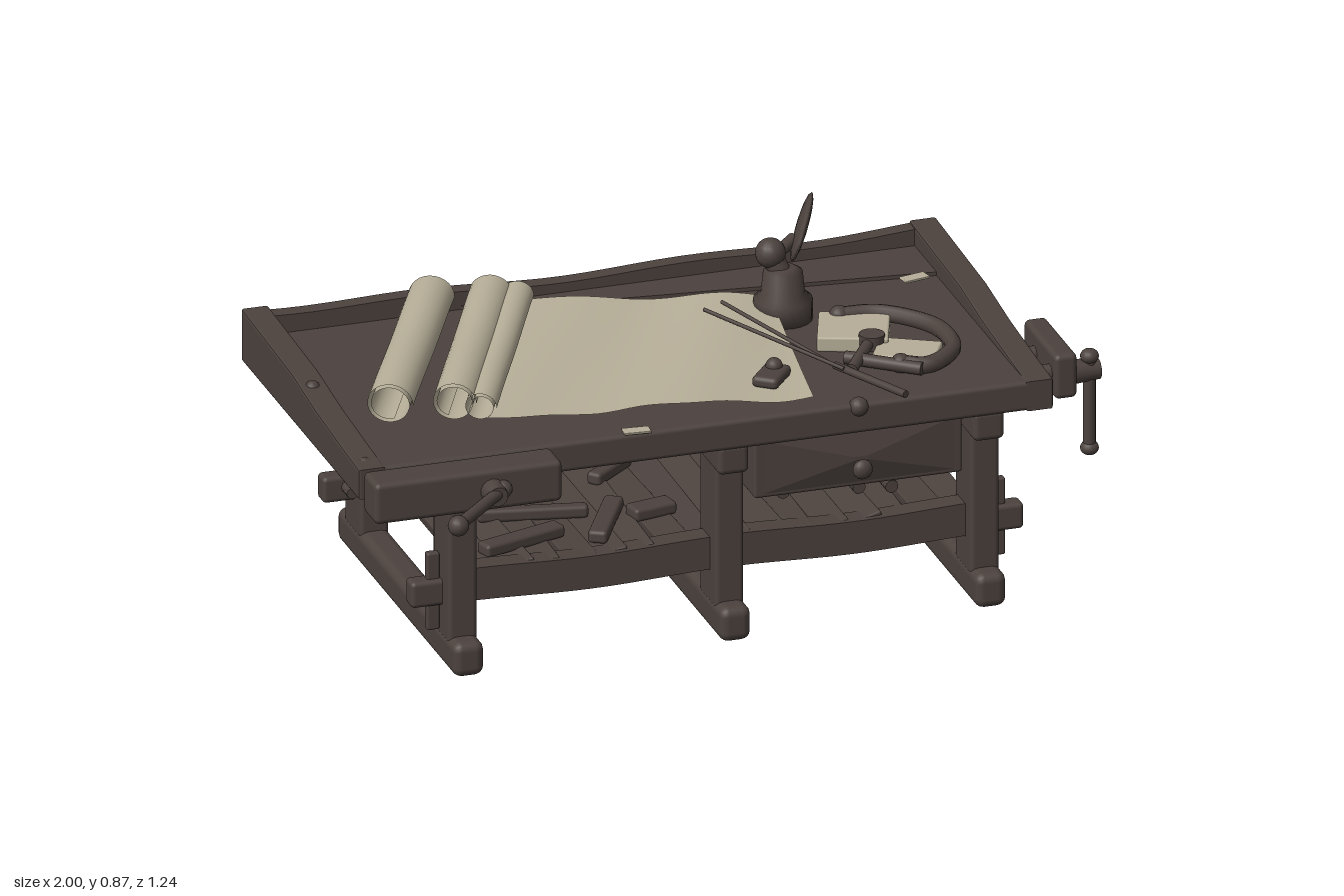
import * as THREE from 'three';
import { RoundedBoxGeometry } from 'three/addons/geometries/RoundedBoxGeometry.js';
import { ParametricGeometry } from 'three/addons/geometries/ParametricGeometry.js';

const V = (x, y, z) => new THREE.Vector3(x, y, z);
const outline = pts => new THREE.Shape(pts.map(([x, y]) => new THREE.Vector2(x, y)));

export function createModel() {
  const root = new THREE.Group();
  root.name = 'workbench';
  const wood = new THREE.MeshStandardMaterial({ name: 'dark wood', color: 0x4c423e });
  const paper = new THREE.MeshStandardMaterial({ name: 'old paper', color: 0xb6ae98, side: THREE.DoubleSide });

  const add = (name, geo, mat = wood) => {
    const m = new THREE.Mesh(geo, mat);
    m.name = name;
    root.add(m);
    return m;
  };
  // rounded box from its limits
  const box = (name, x0, x1, y0, y1, z0, z1, r = 0.012, mat = wood) => {
    const m = add(name, new RoundedBoxGeometry(x1 - x0, y1 - y0, z1 - z0, 2, r), mat);
    m.position.set((x0 + x1) / 2, (y0 + y1) / 2, (z0 + z1) / 2);
    return m;
  };
  // round bar between two points
  const rod = (name, a, b, r0, r1 = r0) => {
    const m = add(name, new THREE.CylinderGeometry(r1, r0, a.distanceTo(b), 14));
    m.position.copy(a).lerp(b, 0.5);
    m.quaternion.setFromUnitVectors(V(0, 1, 0), b.clone().sub(a).normalize());
    return m;
  };
  const ball = (name, p, r, sx = 1, sy = 1, sz = 1) => {
    const m = add(name, new THREE.SphereGeometry(r, 16, 10));
    m.position.copy(p);
    m.scale.set(sx, sy, sz);
    return m;
  };
  // long beam along x whose height follows a rule
  const beam = (name, x0, x1, y0, y1, z0, z1, bend) => {
    const g = new THREE.BoxGeometry(x1 - x0, y1 - y0, z1 - z0, 28, 1, 1);
    g.translate((x0 + x1) / 2, (y0 + y1) / 2, (z0 + z1) / 2);
    const p = g.attributes.position;
    for (let i = 0; i < p.count; i++) p.setY(i, p.getY(i) + bend(p.getX(i), p.getY(i) > (y0 + y1) / 2));
    g.computeVertexNormals();
    return add(name, g);
  };

  // Table top, end boards sloping to the front, sagging back rim
  box('tableTop', -0.96, 0.8, 0.52, 0.6, -0.6, 0.31, 0.012);
  const end = outline([[0.62, 0.52], [0.62, 0.66], [0.22, 0.645], [0.03, 0.622], [-0.18, 0.607], [-0.31, 0.6], [-0.31, 0.52]]);
  for (const [side, x0] of [['left', 0.765], ['right', -1]]) {
    const g = new THREE.ExtrudeGeometry(end, { depth: 0.06, bevelSize: 0.006, bevelThickness: 0.006, bevelOffset: -0.006, bevelSegments: 2 });
    g.rotateY(-Math.PI / 2).scale(1, 1, 1);
    g.rotateY(Math.PI);
    add(side + 'EndBoard', g).position.x = x0 + 0.006;
  }
  beam('backRim', -0.95, 0.78, 0.53, 0.655, -0.618, -0.575,
    (x, top) => (top ? -0.014 * Math.cos(x * 1.7) + 0.006 * Math.sin(x * 9) : 0));
  // Tapered plank along the back of the top
  const plank = new THREE.ExtrudeGeometry(outline([[-0.45, 0.58], [-0.28, 0.52], [0.77, 0.4], [0.77, 0.58]]), { depth: 0.012, bevelEnabled: false });
  add('taperedPlank', plank.rotateX(-Math.PI / 2)).position.y = 0.598;

  // Three trestle frames
  for (const x of [-0.71, -0.005, 0.67]) {
    const w = 0.041;
    box('foot', x - w, x + w, 0, 0.092, -0.615, 0.325, 0.024);
    box('frontPost', x - w + 0.003, x + w - 0.003, 0.07, 0.47, 0.14, 0.27);
    box('backPost', x - w + 0.003, x + w - 0.003, 0.07, 0.47, -0.56, -0.43);
    box('topRail', x - w, x + w, 0.45, 0.53, -0.6, 0.305, 0.015);
  }

  // Stretchers with through tenons and wedges
  for (const [z, n] of [[0.195, 'front'], [-0.505, 'back']]) {
    beam(n + 'Stretcher', -0.7, 0.66, 0.16, 0.248, z - 0.03, z + 0.03, x => 0.005 * Math.cos(x * 9));
    box(n + 'Tenon', -0.83, 0.79, 0.16, 0.23, z - 0.026, z + 0.026);
    for (const x of [-0.767, 0.728]) {
      if (n === 'front') box('uprightWedge', x - 0.017, x + 0.017, 0.09, 0.3, z - 0.012, z + 0.012, 0.006);
      else rod('crossPin', V(x, 0.2, z - 0.04), V(x, 0.2, z + 0.07), 0.015);
    }
  }

  // Shelf of close, tilted cross slats
  for (let i = 0; i < 16; i++) {
    const x = -0.63 + i * 0.0835;
    const s = box('shelfSlat', x - 0.041, x + 0.041, 0.215, 0.243, -0.53, 0.21, 0.005);
    s.rotation.set(0.012 * Math.sin(i * 3.1), 0.03 * Math.sin(i * 2.3), 0.16 + 0.12 * Math.sin(i * 1.7));
  }
  // Tools left on the shelf
  for (const [x, z, w, d, a] of [[-0.5, 0.1, 0.24, 0.05, 0.3], [-0.42, -0.05, 0.28, 0.035, -0.2], [-0.53, -0.25, 0.08, 0.22, 0.4],
    [-0.26, 0.05, 0.05, 0.24, -0.5], [-0.13, 0.02, 0.12, 0.06, 0.2], [-0.15, -0.25, 0.16, 0.04, 0.7], [-0.36, -0.32, 0.2, 0.03, 0.9]])
    box('shelfTool', x - w / 2, x + w / 2, 0.242, 0.276, z - d / 2, z + d / 2, 0.01).rotation.y = a;
  for (const [x, z] of [[0.21, 0.05], [0.4, 0.08], [0.48, 0.1]])
    rod('shelfBar', V(x, 0.268, z), V(x, 0.268, z - 0.48), 0.017);

  // Drawer with a raised pyramid panel and knob
  box('drawer', 0.06, 0.61, 0.36, 0.53, -0.45, 0.27, 0.008);
  const panel = new THREE.CylinderGeometry(0.05, Math.SQRT1_2, 1, 4, 1).toNonIndexed();
  panel.computeVertexNormals();
  const face = add('drawerPanel', panel.rotateY(Math.PI / 4).rotateX(Math.PI / 2));
  face.scale.set(0.53, 0.15, 0.02);
  face.position.set(0.335, 0.443, 0.279);
  rod('drawerKnobStem', V(0.33, 0.425, 0.28), V(0.33, 0.425, 0.31), 0.013);
  ball('drawerKnob', V(0.33, 0.425, 0.318), 0.026, 1, 1, 0.7);

  // Front vise
  box('frontViseJaw', -0.99, -0.495, 0.49, 0.6, 0.315, 0.415, 0.014);
  rod('frontViseScrew', V(-0.68, 0.545, 0.4), V(-0.68, 0.545, 0.46), 0.034, 0.026);
  rod('frontViseHandle', V(-0.655, 0.55, 0.425), V(-0.835, 0.542, 0.595), 0.016);
  ball('handleKnob', V(-0.655, 0.55, 0.425), 0.023);
  ball('handleKnob', V(-0.83, 0.542, 0.592), 0.027);

  // End vise
  box('endViseJaw', 0.87, 0.93, 0.5, 0.62, -0.03, 0.225, 0.014);
  for (const z of [0.06, 0.18]) rod('endViseGuide', V(0.78, 0.56, z), V(0.88, 0.56, z), 0.022);
  rod('endViseScrew', V(0.92, 0.555, 0.185), V(0.998, 0.555, 0.185), 0.033, 0.027);
  rod('endViseHandle', V(0.972, 0.34, 0.19), V(0.972, 0.6, 0.19), 0.016);
  for (const y of [0.345, 0.595]) ball('handleKnob', V(0.972, y, 0.19), 0.024, 1, 0.8, 1);

  // Spread sheet with gentle waves, bilinear between four corners
  const [a, b, c, d] = [V(-0.27, 0.638, -0.5), V(0.3, 0.645, -0.32), V(0.22, 0.62, 0.265), V(-0.6, 0.612, 0.13)];
  add('spreadSheet', new ParametricGeometry((u, v, t) => {
    t.copy(a).lerp(b, u).lerp(d.clone().lerp(c, u), v);
    t.y += 0.01 * Math.sin(u * 10 + v * 2) * (0.4 + 0.6 * u);
    t.z += 0.006 * Math.sin(u * 23) * v;
  }, 30, 16), paper);

  // Paper rolls wound as spirals
  const roll = (p, q, r, turns) => {
    const axis = q.clone().sub(p), side = V(-axis.z, 0, axis.x).normalize();
    add('paperRoll', new ParametricGeometry((u, v, t) => {
      const k = u * turns * Math.PI * 2, s = r * (1 - 0.28 * u);
      t.copy(p).addScaledVector(axis, v).addScaledVector(side, 1.1 * s * Math.cos(k));
      t.y += s * Math.sin(k) + 0.002 * Math.sin(v * 9);
    }, 48, 8), paper);
  };
  roll(V(-0.832, 0.652, 0.05), V(-0.515, 0.652, -0.57), 0.055, 1.8);
  roll(V(-0.675, 0.652, 0.09), V(-0.37, 0.652, -0.535), 0.052, 1.7);
  roll(V(-0.615, 0.643, 0.12), V(-0.305, 0.648, -0.515), 0.038, 1.4);

  // Lamp with an oval reflector
  const lampProfile = [[0, 0.6], [0.075, 0.6], [0.075, 0.655], [0.056, 0.668], [0.05, 0.728], [0.03, 0.74], [0, 0.74]];
  add('lampBase', new THREE.LatheGeometry(lampProfile.map(([x, y]) => new THREE.Vector2(x, y)), 20)).position.set(0.315, 0, -0.27);
  ball('lampHead', V(0.287, 0.775, -0.285), 0.039);
  rod('lampNeck', V(0.31, 0.72, -0.27), V(0.29, 0.77, -0.285), 0.028);
  rod('reflectorArm', V(0.29, 0.77, -0.27), V(0.36, 0.79, -0.32), 0.016);
  const reflector = ball('reflector', V(0.39, 0.807, -0.345), 1, 0.014, 0.062, 0.128);
  reflector.lookAt(0.39 - 0.1, 0.807 - 0.05, -0.345 + 0.2);
  reflector.rotateZ(-0.35);

  // Small paper blocks under a clamp
  box('paperBlock', 0.35, 0.53, 0.6, 0.64, -0.17, 0, 0.006, paper).rotation.y = -0.35;
  box('paperBlock', 0.45, 0.61, 0.6, 0.628, 0.01, 0.13, 0.006, paper).rotation.y = -0.5;
  const bow = [V(0.43, 0.632, -0.17), V(0.53, 0.634, -0.15), V(0.64, 0.63, -0.03), V(0.64, 0.624, 0.1), V(0.55, 0.62, 0.17), V(0.49, 0.62, 0.14)];
  add('clampBow', new THREE.TubeGeometry(new THREE.CatmullRomCurve3(bow), 30, 0.022, 10));
  for (const p of [bow[0], bow[5]]) ball('clampEnd', p, 0.026);
  rod('clampScrew', V(0.36, 0.62, 0.14), V(0.47, 0.632, -0.02), 0.015);
  rod('clampBar', V(0.37, 0.62, 0.06), V(0.53, 0.62, 0.19), 0.017);
  rod('clampPad', V(0.46, 0.612, 0.0), V(0.46, 0.648, 0.0), 0.033);

  // Dividers and pencil
  rod('divider', V(0.1, 0.66, -0.25), V(0.34, 0.625, 0.14), 0.005);
  rod('divider', V(0.15, 0.67, -0.26), V(0.32, 0.625, 0.1), 0.005);
  rod('pencil', V(0.33, 0.62, 0.1), V(0.44, 0.62, 0.33), 0.01);
  // Small tool resting on the sheet
  box('scraper', 0.095, 0.205, 0.615, 0.645, 0.1, 0.17, 0.012).rotation.y = 0.9;
  ball('scraperKnob', V(0.165, 0.645, 0.11), 0.022);
  ball('frontPeg', V(0.325, 0.59, 0.3), 0.025);
  for (const z of [-0.16, 0.25]) ball('endPeg', V(-0.965, 0.612 - z * 0.1, z), 0.02);

  // Scraps of paper
  for (const [x, z, y] of [[0.7, -0.38, 0.612], [-0.26, 0.295, 0.602]])
    box('paperScrap', x - 0.035, x + 0.035, y - 0.003, y + 0.003, z - 0.018, z + 0.018, 0.002, paper).rotation.y = 0.3 * x;

  return root;
}
